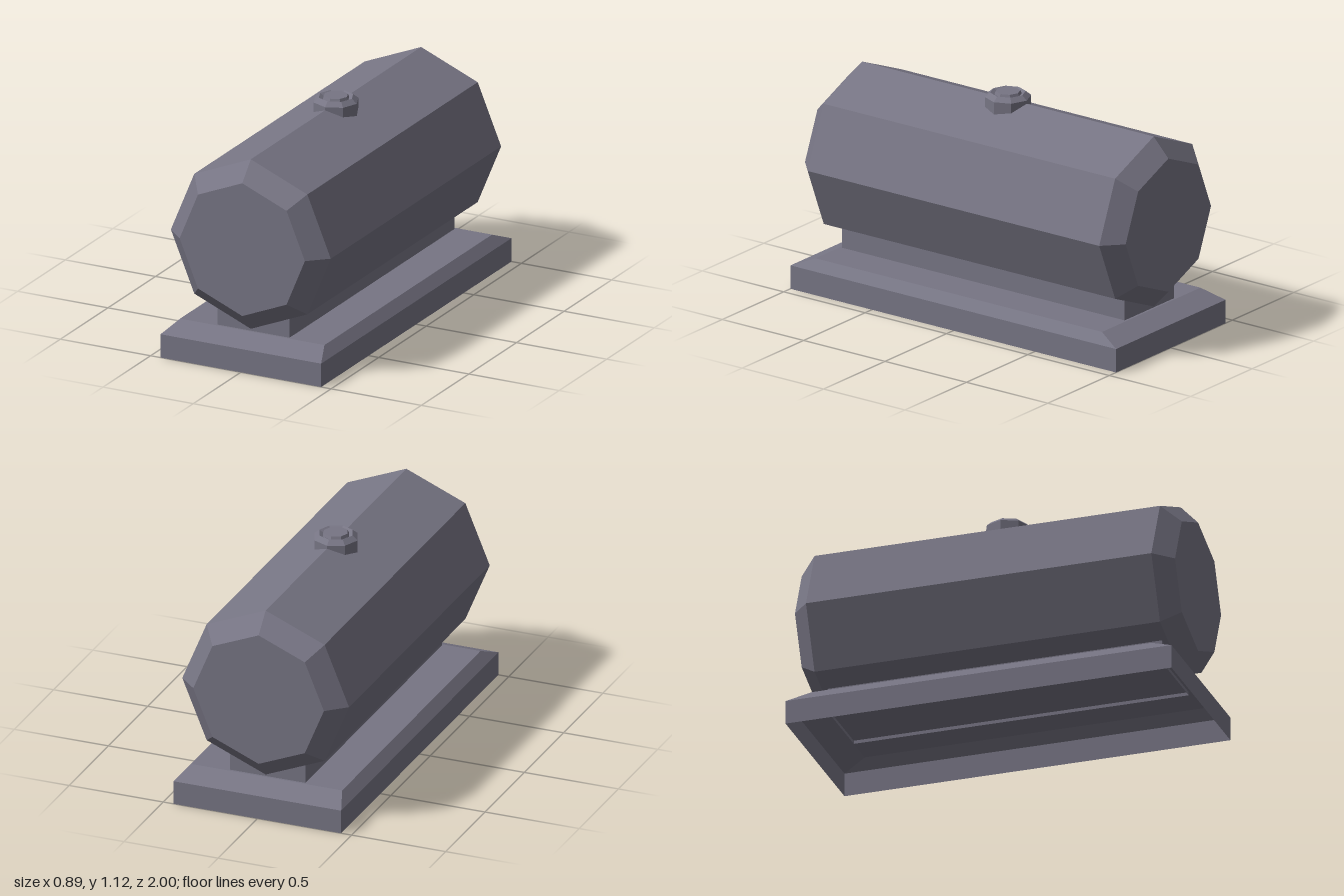
import * as THREE from 'three';

// Open-bottomed shell through rectangles [halfX, y, halfZ], closed at the top
function rectShell(loops) {
  const pos = [], index = [];
  for (const [x, y, z] of loops) pos.push(x, y, z, x, y, -z, -x, y, -z, -x, y, z);
  for (let i = 0; i < loops.length - 1; i++) {
    for (let j = 0; j < 4; j++) {
      const a = i * 4 + j, b = i * 4 + (j + 1) % 4;
      index.push(a, b, b + 4, a, b + 4, a + 4);
    }
  }
  const t = (loops.length - 1) * 4;
  index.push(t, t + 1, t + 2, t, t + 2, t + 3);
  const indexed = new THREE.BufferGeometry();
  indexed.setAttribute('position', new THREE.Float32BufferAttribute(pos, 3));
  indexed.setIndex(index);
  const g = indexed.toNonIndexed();
  g.computeVertexNormals();
  return g;
}

// Eight-sided turned solid from [radius, height] pairs, bottom to top
function octagonLathe(profile) {
  const g = new THREE.LatheGeometry(profile.map(([r, h]) => new THREE.Vector2(r, h)), 8).toNonIndexed();
  g.computeVertexNormals();
  return g;
}

export function createModel() {
  const group = new THREE.Group();
  const metal = new THREE.MeshStandardMaterial({ color: 0x777584, flatShading: true, side: THREE.DoubleSide });
  metal.name = 'grey metal';

  const add = (name, geometry) => {
    const mesh = new THREE.Mesh(geometry, metal);
    mesh.name = name;
    group.add(mesh);
    return mesh;
  };

  // Hollow plinth with a bevelled top edge
  add('base', rectShell([[0.445, 0, 1], [0.445, 0.122, 1], [0.4, 0.172, 0.88]]));

  // Saddle under the tank, reaching slightly through the base
  add('pedestal', rectShell([[0.2, 0.155, 0.868], [0.2, 0.285, 0.868]]));

  // Lying tank with bevelled ends
  const tank = add('tank', octagonLathe([
    [0, -0.985], [0.347, -0.985], [0.443, -0.895],
    [0.443, 0.895], [0.347, 0.985], [0, 0.985],
  ]));
  tank.rotation.x = Math.PI / 2;
  tank.position.y = 0.636;

  // Filler cap with a shallow groove around its centre
  add('fillerCap', octagonLathe([
    [0.115, 1.02], [0.115, 1.095], [0.088, 1.117],
    [0.068, 1.106], [0.061, 1.122], [0, 1.122],
  ]));

  return group;
}
